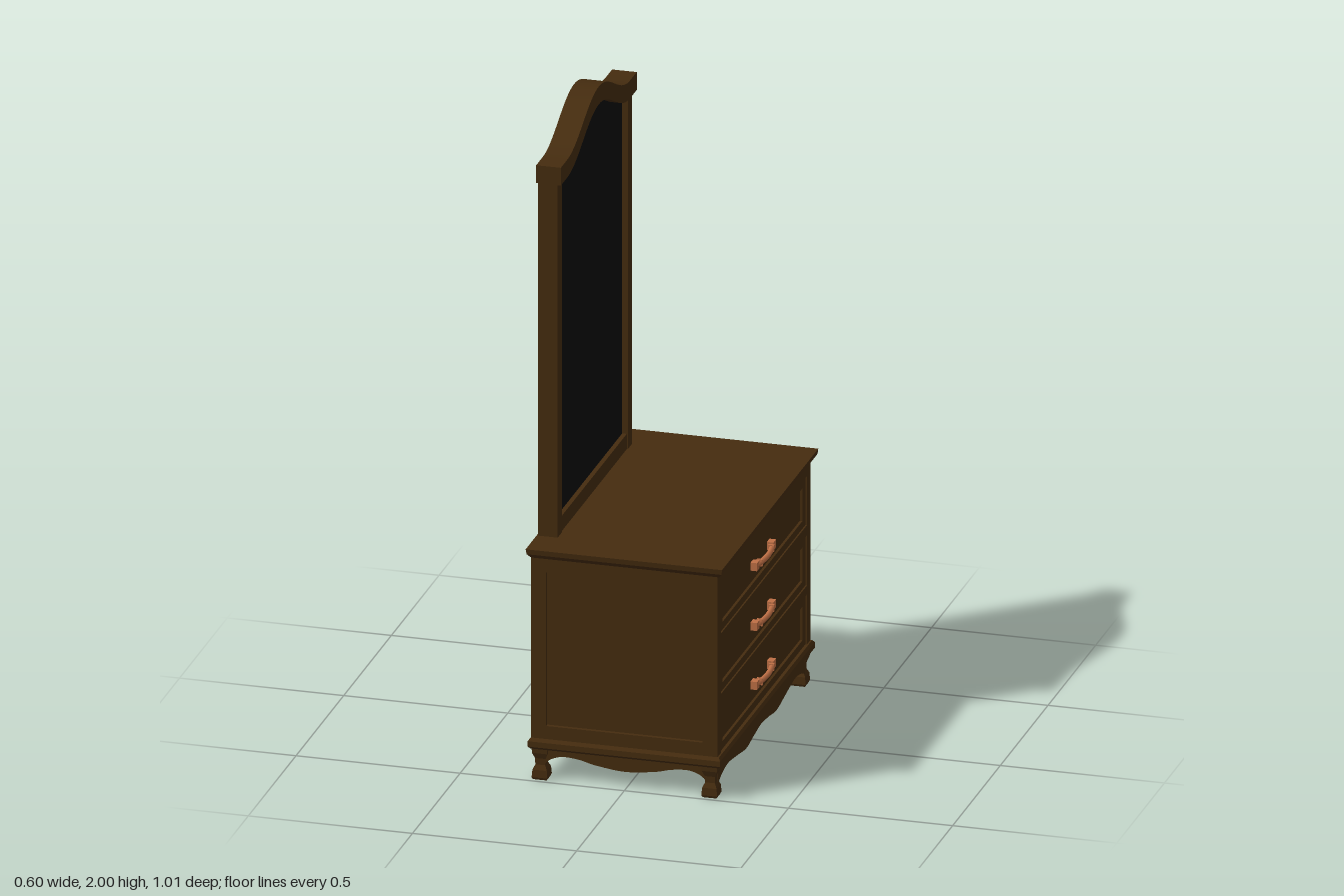
import * as THREE from 'three';
import { toCreasedNormals } from 'three/addons/utils/BufferGeometryUtils.js';

const wood = new THREE.MeshStandardMaterial({ color: 0x452c0f });
wood.name = 'dark wood';
const copper = new THREE.MeshStandardMaterial({ color: 0xbf6f45 });
copper.name = 'copper';
const glass = new THREE.MeshStandardMaterial({ color: 0x0d0d0d });
glass.name = 'dark glass';

function add(parent, name, geometry, material, x = 0, y = 0, z = 0) {
  const mesh = new THREE.Mesh(geometry, material);
  mesh.name = name;
  mesh.position.set(x, y, z);
  parent.add(mesh);
  return mesh;
}

// Box from minimum and maximum corners
function block(parent, name, [x0, y0, z0], [x1, y1, z1], material = wood) {
  return add(parent, name, new THREE.BoxGeometry(x1 - x0, y1 - y0, z1 - z0), material,
    (x0 + x1) / 2, (y0 + y1) / 2, (z0 + z1) / 2);
}

// Rectangular cross-sections [y, halfX, halfZ] joined from bottom to top
function stack(sections) {
  const rings = sections.map(([y, hx, hz]) =>
    [[hx, y, hz], [hx, y, -hz], [-hx, y, -hz], [-hx, y, hz]]);
  const pos = [];
  const quad = (a, b, c, d) => pos.push(...a, ...b, ...c, ...a, ...c, ...d);
  for (let i = 0; i < rings.length - 1; i++) {
    for (let k = 0; k < 4; k++) {
      const n = (k + 1) % 4;
      quad(rings[i][k], rings[i][n], rings[i + 1][n], rings[i + 1][k]);
    }
  }
  quad(...rings[rings.length - 1]);
  quad(...[...rings[0]].reverse());
  const geometry = new THREE.BufferGeometry();
  geometry.setAttribute('position', new THREE.Float32BufferAttribute(pos, 3));
  geometry.computeVertexNormals();
  return geometry;
}

// Extrude a shape; facingX turns it so that its depth runs along +x
function slab(shape, depth, facingX = false) {
  const g = new THREE.ExtrudeGeometry(shape, { depth, bevelEnabled: false, curveSegments: 32 });
  if (facingX) g.rotateY(Math.PI / 2);
  return toCreasedNormals(g, 0.5);
}

function rectangle(Type, w, y0, y1) {
  const r = new Type();
  r.moveTo(-w, y0).lineTo(w, y0).lineTo(w, y1).lineTo(-w, y1).closePath();
  return r;
}

// Half widths, heights, then the opening
function frameShape(w, y0, y1, holes) {
  const s = rectangle(THREE.Shape, w, y0, y1);
  for (const [hw, h0, h1] of holes) s.holes.push(rectangle(THREE.Path, hw, h0, h1));
  return s;
}

// Scalloped strip, its lower edge given from the outer end to the middle
function apronShape(half) {
  const left = half.map(([u, y]) => new THREE.Vector2(-u, y));
  const right = half.slice(0, -1).reverse().map(([u, y]) => new THREE.Vector2(u, y));
  const pts = [...left, ...right];
  const s = new THREE.Shape();
  s.moveTo(-half[0][0], 0.1).lineTo(pts[0].x, pts[0].y);
  s.splineThru(pts.slice(1)).lineTo(half[0][0], 0.1).closePath();
  return s;
}

// Top line of the mirror crown
const crownY = (z) => 1.895 + (Math.abs(z) < 0.33 ? 0.0525 * (1 + Math.cos(Math.PI * z / 0.33)) : 0);

// Shape below the crown line, with a straight or a parallel lower edge
function archShape(w, drop, bottom) {
  const s = new THREE.Shape();
  const n = 40;
  const at = (i) => -w + (2 * w * i) / n;
  s.moveTo(-w, bottom(-w));
  for (let i = 1; i <= n; i++) s.lineTo(at(i), bottom(at(i)));
  for (let i = n; i >= 0; i--) s.lineTo(at(i), crownY(at(i)) - drop);
  return s;
}

function makeHandle() {
  const handle = new THREE.Group();
  handle.name = 'drawerHandle';
  const curve = new THREE.CatmullRomCurve3([[0.004, -0.09], [0.012, -0.05], [0.016, 0], [0.012, 0.05], [0.004, 0.09]]
    .map(([x, z]) => new THREE.Vector3(x, 0, z)));
  const bar = new THREE.TubeGeometry(curve, 24, 0.0085, 8);
  add(handle, 'handleBar', bar, copper);
  for (const s of [-1, 1]) {
    block(handle, 'handlePlate', [-0.01, -0.0125, s * 0.086 - 0.014], [0.012, 0.0125, s * 0.086 + 0.014], copper);
    block(handle, 'handleCollar', [0, -0.0105, s * 0.06 - 0.004], [0.018, 0.0105, s * 0.06 + 0.004], copper);
  }
  return handle;
}

function makeCabinet() {
  const cabinet = new THREE.Group();
  cabinet.name = 'cabinet';
  block(cabinet, 'carcass', [-0.288, 0.12, -0.475], [0.264, 0.705, 0.475]);
  add(cabinet, 'topBoard', stack([[0.698, 0.287, 0.49], [0.712, 0.297, 0.503], [0.728, 0.299, 0.505]]), wood);
  add(cabinet, 'baseMoulding', stack([[0.097, 0.287, 0.489], [0.105, 0.293, 0.497],
    [0.122, 0.293, 0.497], [0.131, 0.287, 0.489]]), wood, -0.002);

  // Framed side panels
  const side = slab(frameShape(0.284, 0.125, 0.705, [[0.238, 0.172, 0.655]]), 0.013);
  add(cabinet, 'sideFrame', side, wood, -0.004, 0, 0.474);
  add(cabinet, 'sideFrame', side, wood, -0.004, 0, -0.487);

  // Front frame, drawers and handles
  const drawers = [[0.13, 0.288], [0.315, 0.474], [0.505, 0.66]];
  add(cabinet, 'frontFrame', slab(frameShape(0.487, 0.125, 0.705,
    drawers.map(([a, b]) => [0.451, a + 0.001, b])), 0.017, true), wood, 0.263);
  for (const [a, b] of drawers) {
    add(cabinet, 'drawerFrame', slab(frameShape(0.449, a + 0.002, b - 0.002,
      [[0.418, a + 0.026, b - 0.026]]), 0.013, true), wood, 0.263);
    block(cabinet, 'drawerPanel', [0.262, a + 0.02, -0.42], [0.268, b - 0.02, 0.42]);
    const handle = makeHandle();
    handle.position.set(0.276, (a + b) / 2, 0);
    cabinet.add(handle);
  }

  // Scalloped aprons
  const longApron = slab(apronShape([[0.455, 0.035], [0.42, 0.051], [0.35, 0.061], [0.25, 0.048],
    [0.16, 0.035], [0.08, 0.045], [0, 0.053]]), 0.018, true);
  add(cabinet, 'frontApron', longApron, wood, 0.255);
  add(cabinet, 'backApron', longApron, wood, -0.28);
  const shortApron = slab(apronShape([[0.245, 0.05], [0.225, 0.066], [0.19, 0.076], [0.14, 0.072],
    [0.09, 0.06], [0, 0.05]]), 0.018);
  add(cabinet, 'sideApron', shortApron, wood, -0.003, 0, 0.459);
  add(cabinet, 'sideApron', shortApron, wood, -0.003, 0, -0.477);

  // Curved legs with block feet
  const leg = stack([[0, 0.021], [0.007, 0.024], [0.03, 0.022], [0.045, 0.015], [0.065, 0.016],
    [0.083, 0.023], [0.1, 0.024]].map(([y, r]) => [y, r, r]));
  for (const x of [-0.262, 0.255]) {
    for (const z of [-0.464, 0.464]) add(cabinet, 'leg', leg, wood, x, 0, z);
  }
  return cabinet;
}

function makeMirror() {
  const mirror = new THREE.Group();
  mirror.name = 'mirror';
  for (const s of [-1, 1]) {
    block(mirror, 'mirrorPost', [-0.295, 0.72, s * 0.3675 - 0.0225], [-0.235, 1.86, s * 0.3675 + 0.0225]);
  }
  block(mirror, 'mirrorBottomRail', [-0.29, 0.72, -0.346], [-0.238, 0.776, 0.346]);
  add(mirror, 'mirrorBack', slab(archShape(0.346, 0.03, () => 0.74), 0.03, true), wood, -0.288);
  add(mirror, 'mirrorGlass', slab(archShape(0.346, 0.03, () => 0.77), 0.006, true), glass, -0.258);
  add(mirror, 'mirrorCrown', slab(archShape(0.398, 0, (z) => crownY(z) - 0.056), 0.075, true), wood, -0.298);
  return mirror;
}

export function createModel() {
  const model = new THREE.Group();
  model.name = 'dressingTable';
  model.add(makeCabinet(), makeMirror());
  return model;
}
